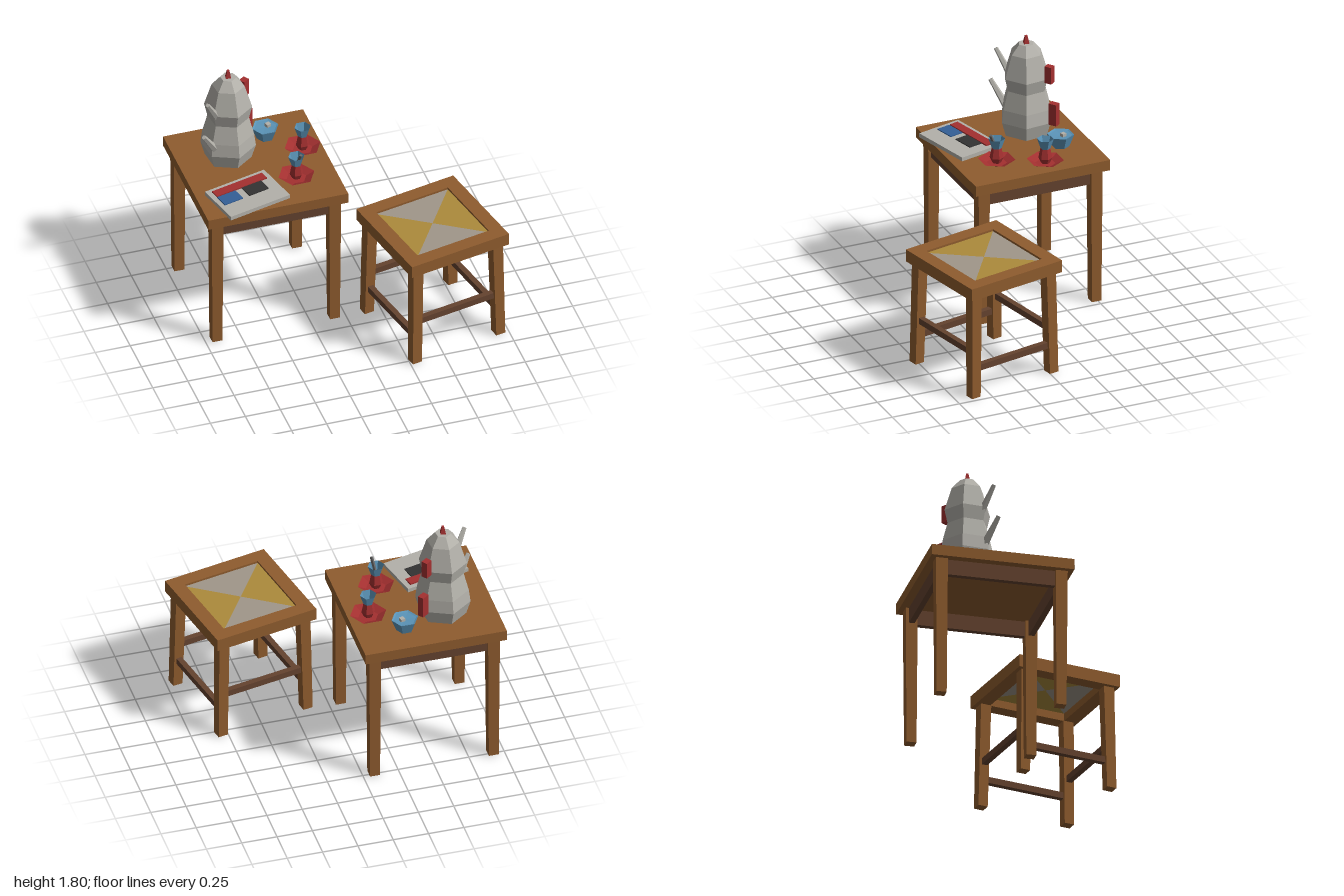
import * as THREE from 'three';

const mat = (color) => new THREE.MeshStandardMaterial({ color, flatShading: true, side: THREE.DoubleSide });
const WOOD = mat(0x8f5c2e), DARK_WOOD = mat(0x65432f), METAL = mat(0xb3b1aa), RED = mat(0xa33030);
const BLUE = mat(0x5b94b8), YELLOW = mat(0xac8b3c), BEIGE = mat(0xa0968a), NAVY = mat(0x345f96), BLACK = mat(0x333333), STEEL = mat(0x666666);

function add(parent, name, geometry, material, x = 0, y = 0, z = 0) {
  const mesh = new THREE.Mesh(geometry, material);
  mesh.name = name;
  mesh.position.set(x, y, z);
  parent.add(mesh);
  return mesh;
}

function group(parent, name, x, y, z, turn = 0) {
  const g = new THREE.Group();
  g.name = name;
  g.position.set(x, y, z);
  g.rotation.y = turn;
  parent.add(g);
  return g;
}

const box = (parent, name, material, size, pos) => add(parent, name, new THREE.BoxGeometry(...size), material, ...pos);

// Six-sided turned part with corners on the local x axis
const hexLathe = (points) =>
  new THREE.LatheGeometry(points.map(([r, y]) => new THREE.Vector2(r, y)), 6, Math.PI / 6);

// Square leg that tapers and splays from its top centre to its foot centre
function leg(top, foot, height, topWidth, footWidth) {
  const g = new THREE.BoxGeometry(1, height, 1);
  g.translate(0, height / 2, 0);
  const p = g.attributes.position;
  for (let i = 0; i < p.count; i++) {
    const t = p.getY(i) / height;
    const w = footWidth + (topWidth - footWidth) * t;
    p.setX(i, p.getX(i) * w + foot[0] + (top[0] - foot[0]) * t);
    p.setZ(i, p.getZ(i) * w + foot[1] + (top[1] - foot[1]) * t);
  }
  g.computeVertexNormals();
  return g;
}

// Tapered rod between two points
function rod(parent, name, material, from, to, r0, r1, sides) {
  const a = new THREE.Vector3(...from), b = new THREE.Vector3(...to);
  const d = b.clone().sub(a);
  const mesh = add(parent, name, new THREE.CylinderGeometry(r1, r0, d.length(), sides), material);
  mesh.position.copy(a).add(b).multiplyScalar(0.5);
  mesh.quaternion.setFromUnitVectors(new THREE.Vector3(0, 1, 0), d.normalize());
}

const CORNERS = [[-1, -1], [1, -1], [1, 1], [-1, 1]];

function buildTable(root) {
  const table = group(root, 'table', -0.5, 0, -0.32);
  box(table, 'tableTop', WOOD, [1, 0.077, 1], [0, 1.0385, 0]);
  for (const [sx, sz] of CORNERS) {
    const c = [sx * 0.42, sz * 0.42];
    add(table, 'tableLeg', leg(c, c, 1.0, 0.084, 0.07), WOOD);
  }
  for (const s of [-1, 1]) {
    box(table, 'tableApron', DARK_WOOD, [0.77, 0.11, 0.04], [0, 0.945, s * 0.42]);
    box(table, 'tableApron', DARK_WOOD, [0.04, 0.11, 0.77], [s * 0.42, 0.945, 0]);
  }
}

function buildStool(root) {
  const stool = group(root, 'stool', 0.5435, 0, 0.363, 0.21);
  // Seat frame around a sunken panel
  const square = (h, Type) => new Type(CORNERS.map(([x, y]) => new THREE.Vector2(x * h, y * h)));
  const frame = square(0.38, THREE.Shape);
  frame.holes.push(square(0.28, THREE.Path));
  const frameGeometry = new THREE.ExtrudeGeometry(frame, { depth: 0.09, bevelEnabled: false });
  add(stool, 'seatFrame', frameGeometry.rotateX(-Math.PI / 2), WOOD, 0, 0.755, 0);
  // Four woven triangles in alternating colours
  const wedge = new THREE.Shape([[0, 0], [0.28, -0.28], [0.28, 0.28]].map((p) => new THREE.Vector2(...p)));
  const wedgeGeometry = new THREE.ExtrudeGeometry(wedge, { depth: 0.02, bevelEnabled: false }).rotateX(-Math.PI / 2);
  for (let i = 0; i < 4; i++)
    add(stool, 'seatPanel', wedgeGeometry, i % 2 ? BEIGE : YELLOW, 0, 0.81, 0).rotation.y = (i * Math.PI) / 2;

  for (const [sx, sz] of CORNERS)
    add(stool, 'stoolLeg', leg([sx * 0.312, sz * 0.312], [sx * 0.327, sz * 0.327], 0.757, 0.077, 0.07), WOOD);
  for (const s of [-1, 1]) {
    box(stool, 'stoolStretcher', DARK_WOOD, [0.62, 0.045, 0.04], [0, 0.328, s * 0.32]);
    box(stool, 'sideStretcher', DARK_WOOD, [0.04, 0.045, 0.62], [s * 0.322, 0.208, 0]);
  }
}

function buildTeapot(root) {
  // Two stacked pots, spouts towards local -x, handles towards +x
  const pot = group(root, 'doubleTeapot', -0.644, 1.075, -0.483, 0.63);
  add(pot, 'lowerPot', hexLathe([[0, 0], [0.16, 0], [0.19, 0.105], [0.178, 0.2], [0.143, 0.335], [0, 0.335]]), METAL);
  add(pot, 'upperPot', hexLathe([[0, 0.335], [0.143, 0.335], [0.165, 0.43], [0.113, 0.6], [0, 0.6]]), METAL);
  add(pot, 'lid', hexLathe([[0.113, 0.6], [0.055, 0.668], [0, 0.668]]), METAL);
  add(pot, 'lidKnob', new THREE.CylinderGeometry(0.011, 0.027, 0.06, 4), RED, 0, 0.695, 0);
  rod(pot, 'lowerSpout', METAL, [-0.14, 0.13, 0], [-0.28, 0.325, 0], 0.03, 0.016, 5);
  rod(pot, 'upperSpout', METAL, [-0.12, 0.39, 0], [-0.238, 0.572, 0], 0.027, 0.015, 5);
  box(pot, 'lowerHandle', RED, [0.06, 0.16, 0.045], [0.218, 0.183, 0]);
  box(pot, 'upperHandle', RED, [0.052, 0.125, 0.045], [0.182, 0.474, 0]);
}

function buildTeaGlass(root, x, z) {
  const tea = group(root, 'teaGlass', x, 1.075, z);
  add(tea, 'saucer', hexLathe([[0, 0.004], [0.07, 0.004], [0.128, 0.03]]), RED);
  add(tea, 'tea', hexLathe([[0, 0.006], [0.03, 0.006], [0.048, 0.045], [0.034, 0.115]]), RED);
  add(tea, 'glassRim', hexLathe([[0, 0.115], [0.034, 0.115], [0.058, 0.187]]), BLUE);
  return tea;
}

function buildSugarBowl(root) {
  const bowl = group(root, 'sugarBowl', -0.34, 1.075, -0.603);
  add(bowl, 'bowl', hexLathe([[0, 0], [0.06, 0], [0.094, 0.09], [0.08, 0.085], [0, 0.08]]), BLUE);
  box(bowl, 'sugarCube', METAL, [0.032, 0.032, 0.032], [0.022, 0.088, -0.01]).rotation.y = 0.3;
}

function buildNewspaper(root) {
  const paper = group(root, 'newspaper', -0.6625, 1.075, 0.001, 0.245);
  box(paper, 'pages', METAL, [0.473, 0.03, 0.335], [0, 0.015, 0]);
  box(paper, 'headlineBand', RED, [0.4, 0.012, 0.066], [0, 0.034, -0.102]);
  box(paper, 'bluePicture', NAVY, [0.145, 0.008, 0.1], [-0.13, 0.033, -0.014]);
  box(paper, 'darkPicture', BLACK, [0.155, 0.008, 0.1], [0.072, 0.033, -0.016]);
}

export function createModel() {
  const root = new THREE.Group();
  root.name = 'teaTableWithStool';
  buildTable(root);
  buildStool(root);
  buildTeapot(root);
  buildTeaGlass(root, -0.139, -0.4);
  const glass = buildTeaGlass(root, -0.28, -0.1);
  rod(glass, 'spoon', STEEL, [0, 0.12, 0.01], [0.016, 0.225, 0.052], 0.012, 0.012, 4);
  buildSugarBowl(root);
  buildNewspaper(root);
  return root;
}
